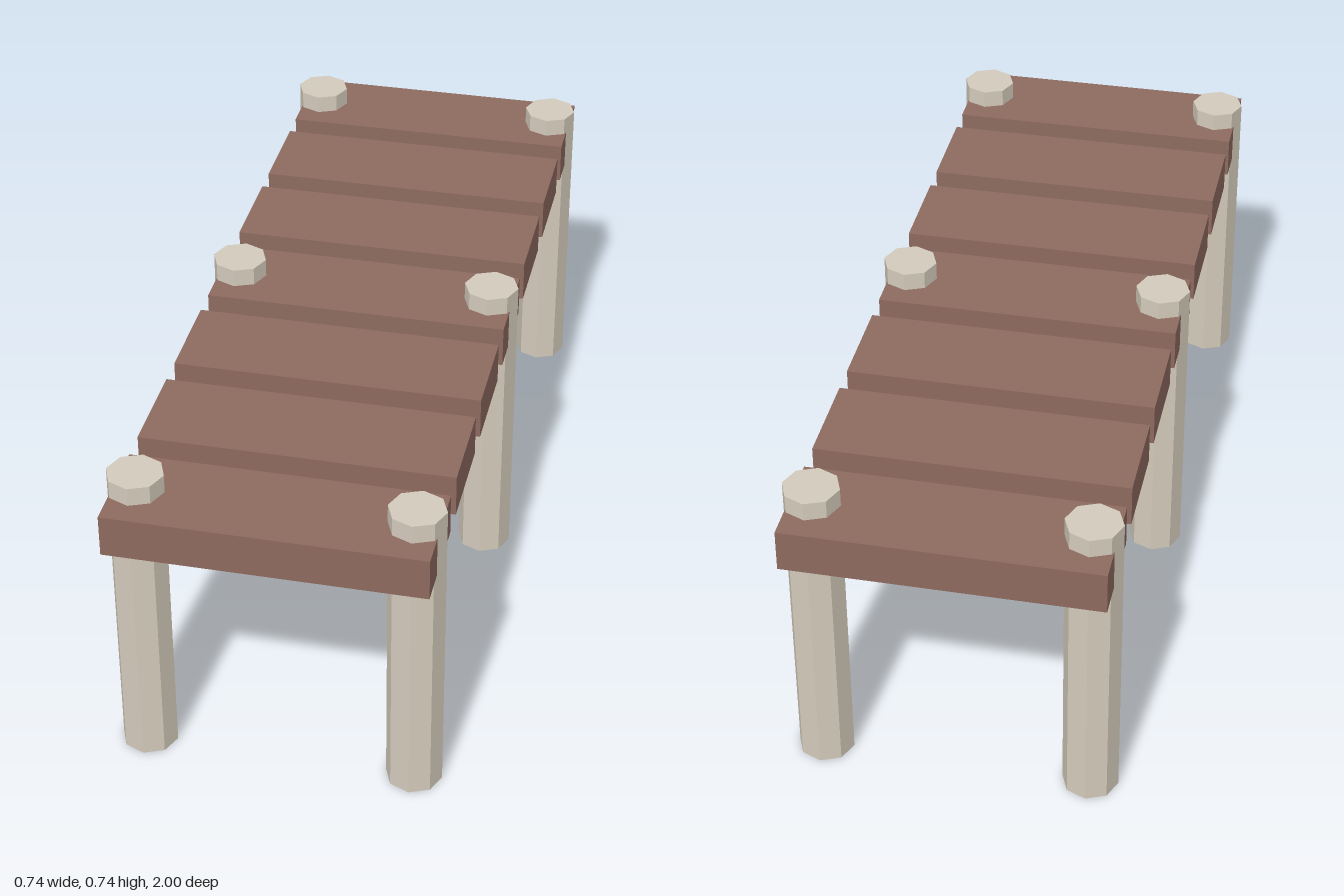
import * as THREE from 'three';

const PITCH = 0.295;        // plank spacing along z
const PLANK_DEPTH = 0.23;
const POST_HEIGHT = 0.737;

export function createModel() {
  const model = new THREE.Group();
  model.name = 'dock';

  const plankWood = new THREE.MeshStandardMaterial({ color: 0x8d6a5f, flatShading: true });
  plankWood.name = 'brown plank wood';
  const postWood = new THREE.MeshStandardMaterial({ color: 0xd3cabb, flatShading: true });
  postWood.name = 'pale post wood';

  // Seven evenly spaced deck planks
  const plankGeometry = new THREE.BoxGeometry(0.706, 0.098, PLANK_DEPTH);
  for (let i = -3; i <= 3; i++) {
    const plank = new THREE.Mesh(plankGeometry, plankWood);
    plank.name = 'plank';
    plank.position.set(0, 0.645, i * PITCH);
    model.add(plank);
  }

  // Octagonal posts in pairs through the end and middle planks
  const postGeometry = new THREE.CylinderGeometry(0.0635, 0.0635, POST_HEIGHT, 8);
  for (const row of [-3, 0, 3]) {
    for (const side of [-1, 1]) {
      const post = new THREE.Mesh(postGeometry, postWood);
      post.name = side > 0 ? 'leftPost' : 'rightPost';
      post.position.set(side * 0.304, POST_HEIGHT / 2, row * PITCH);
      model.add(post);
    }
  }
  return model;
}
